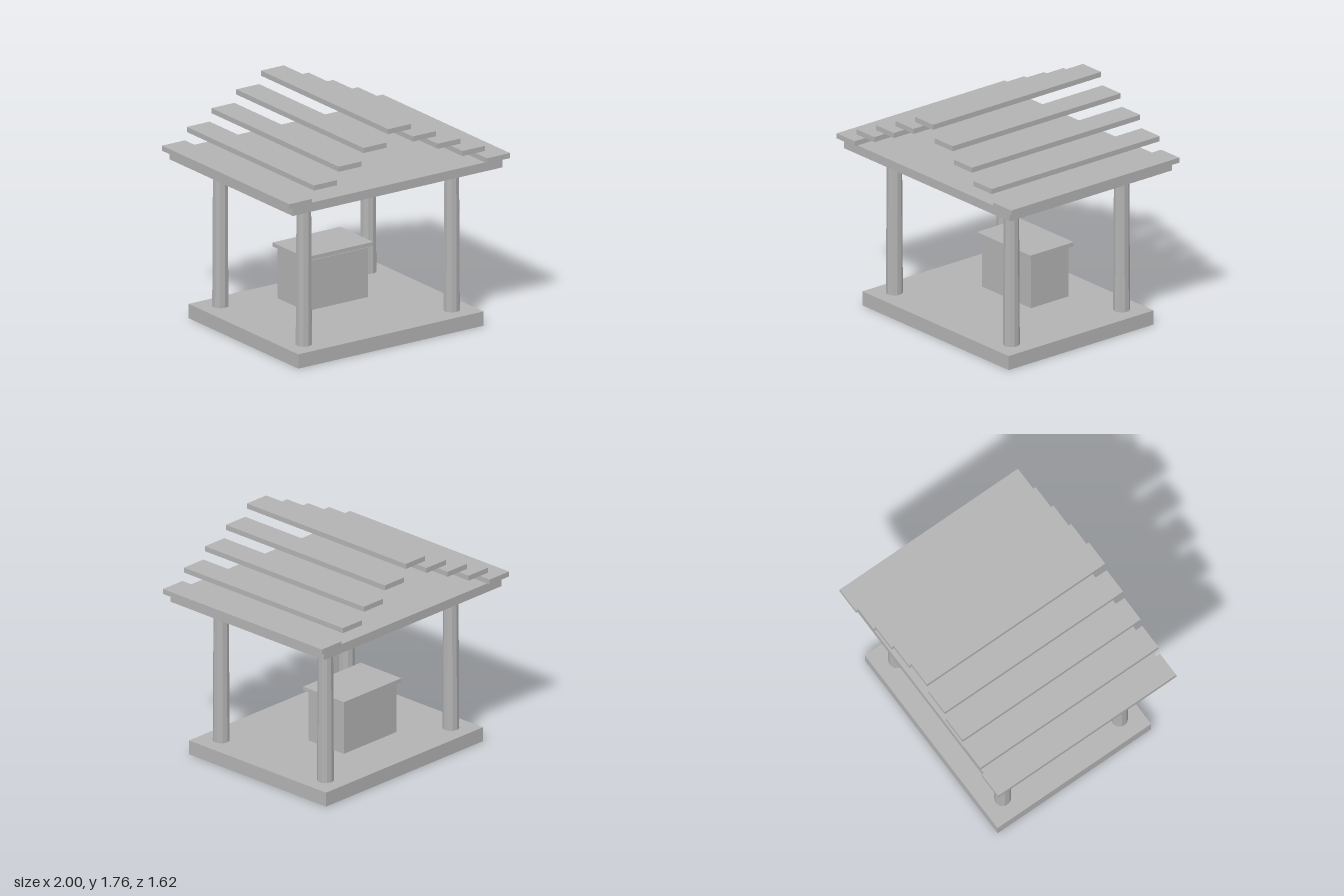
import * as THREE from 'three';

export function createModel() {
  const model = new THREE.Group();
  model.name = 'pavilion';
  const grey = new THREE.MeshStandardMaterial({ color: 0xb2b2b2, flatShading: true });
  grey.name = 'stone grey';

  function add(name, geometry, x, y, z) {
    const mesh = new THREE.Mesh(geometry, grey);
    mesh.name = name;
    mesh.position.set(x, y, z);
    model.add(mesh);
  }
  // Box given by width, depth and its bottom and top heights
  function slab(name, width, depth, bottom, top, x = 0, z = 0) {
    add(name, new THREE.BoxGeometry(width, top - bottom, depth), x, (bottom + top) / 2, z);
  }

  // Floor and ceiling
  slab('floor', 1.676, 1.4, 0, 0.112);
  slab('ceiling', 1.9, 1.57, 1.24, 1.31);

  // Slightly tapered ten-sided posts
  const post = new THREE.CylinderGeometry(0.057, 0.063, 1.128, 10);
  for (const x of [-0.67, 0.67]) {
    for (const z of [-0.533, 0.533]) add('post', post, x, 0.676, z);
  }

  // Floating chest and its lid
  slab('chest', 0.562, 0.364, 0.144, 0.532, 0, -0.167);
  slab('chestLid', 0.615, 0.418, 0.546, 0.577, 0, -0.167);

  // Stepped roof planks, rising to the ridge
  for (let i = -4; i <= 4; i++) {
    const bottom = 1.717 - Math.abs(i) * 0.1018;
    slab(i === 0 ? 'ridgePlank' : 'roofPlank', 0.207, 1.624, bottom, bottom + 0.04, i * 0.2241);
  }
  return model;
}
